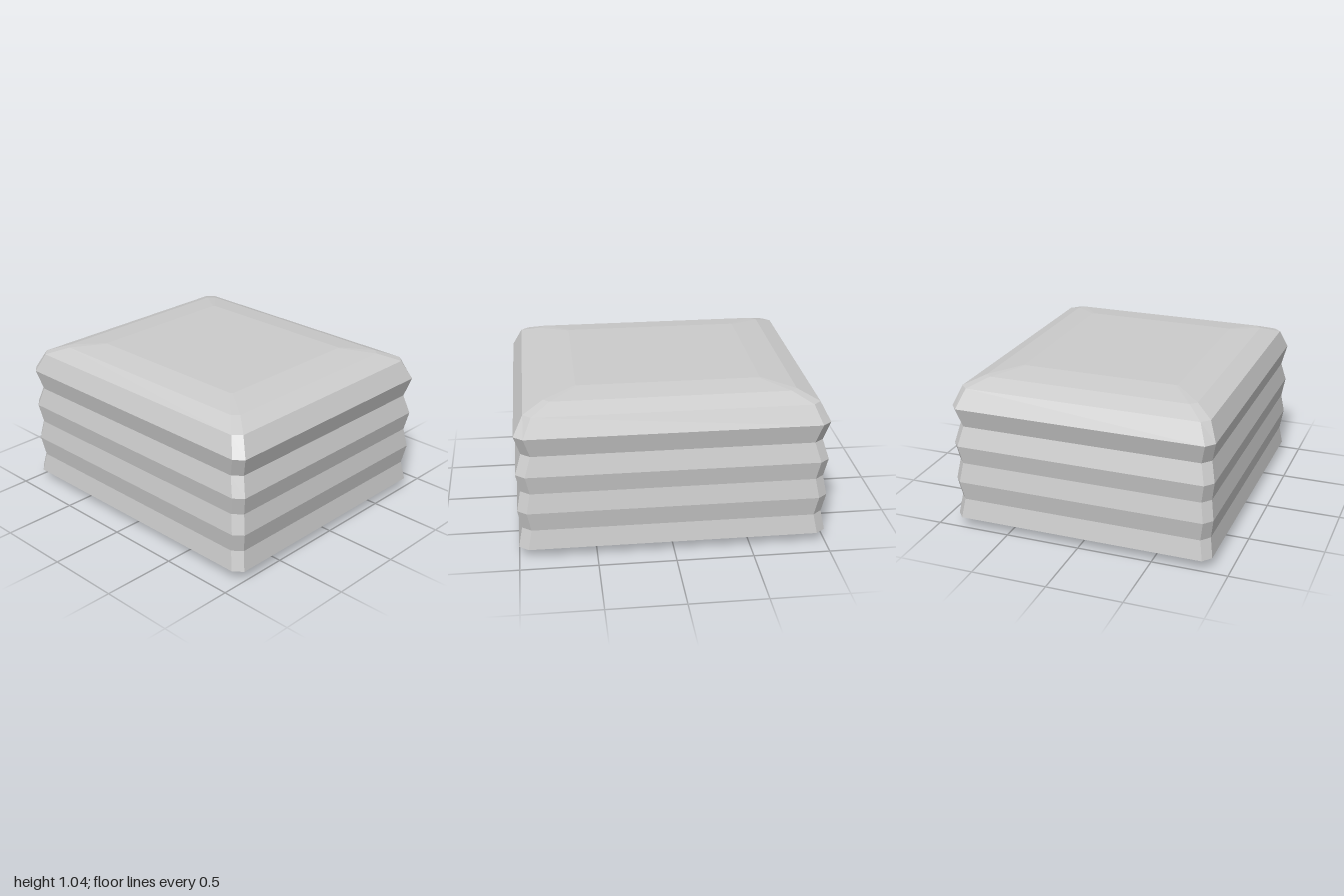
import * as THREE from 'three';

// Rings from bottom to top: height, half width, half depth, corner cut in x, corner cut in z
const RINGS = [
  [0, 0.74, 0.84, 0.045, 0.05],
  [0.07, 0.88, 1, 0.05, 0.06],
  [0.2, 0.86, 0.975, 0.05, 0.06],
  [0.33, 0.88, 1, 0.05, 0.06],
  [0.46, 0.86, 0.975, 0.05, 0.06],
  [0.585, 0.88, 1, 0.05, 0.06],
  [0.715, 0.85, 0.96, 0.05, 0.06],
  [0.845, 0.88, 1, 0.05, 0.06],
  [0.97, 0.83, 0.935, 0.05, 0.05],
  [1.02, 0.71, 0.805, 0.04, 0.04],
  [1.045, 0.525, 0.595, 0.01, 0.01],
];

// Rectangle with cut corners, running from +x towards +z
function ringPoints([y, w, d, cx, cz]) {
  return [
    [w, d - cz], [w - cx, d], [cx - w, d], [-w, d - cz],
    [-w, cz - d], [cx - w, -d], [w - cx, -d], [w, cz - d],
  ].map(([x, z]) => [x, y, z]);
}

// Skin a run of rings, closing the first or last one on request
function loft(name, rings, capBottom, capTop, material) {
  const loops = rings.map(ringPoints);
  const positions = [];
  const tri = (a, b, c) => positions.push(...a, ...b, ...c);
  for (let r = 0; r < loops.length - 1; r++) {
    const low = loops[r], high = loops[r + 1];
    for (let i = 0; i < 8; i++) {
      const j = (i + 1) % 8;
      tri(low[i], high[i], high[j]);
      tri(low[i], high[j], low[j]);
    }
  }
  const first = loops[0], last = loops[loops.length - 1];
  for (let i = 1; i < 7; i++) {
    if (capBottom) tri(first[0], first[i], first[i + 1]);
    if (capTop) tri(last[0], last[i + 1], last[i]);
  }
  const geometry = new THREE.BufferGeometry();
  geometry.setAttribute('position', new THREE.Float32BufferAttribute(positions, 3));
  geometry.computeVertexNormals();
  const mesh = new THREE.Mesh(geometry, material);
  mesh.name = name;
  return mesh;
}

export function createModel() {
  const group = new THREE.Group();
  group.name = 'ribbedBlock';
  const material = new THREE.MeshStandardMaterial({ color: 0xcccccc, flatShading: true });
  group.add(
    loft('base', RINGS.slice(0, 2), true, false, material),
    loft('ribbedSides', RINGS.slice(1, 8), false, false, material),
    loft('domedTop', RINGS.slice(7), false, true, material),
  );
  return group;
}
